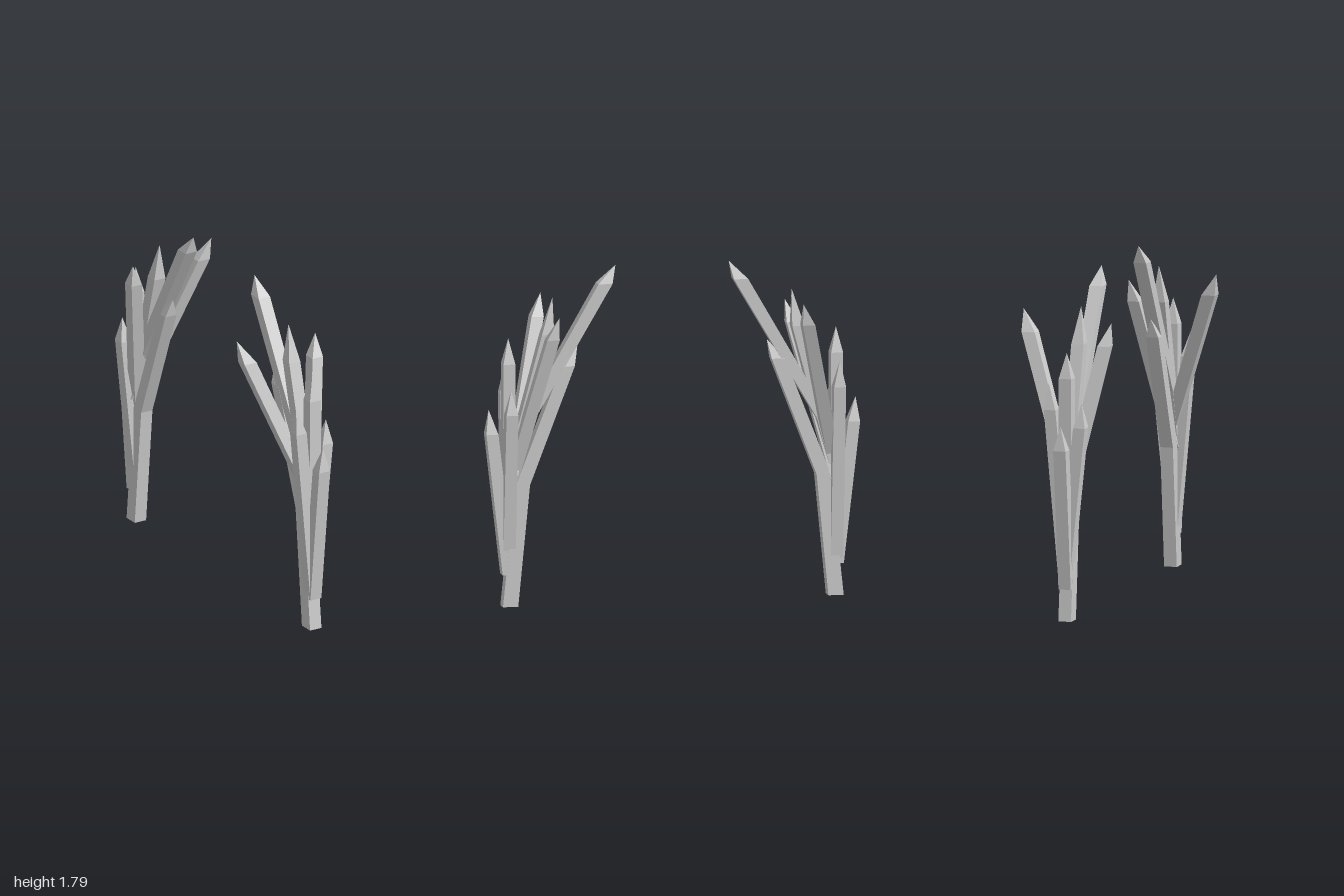
import * as THREE from 'three';

const material = new THREE.MeshStandardMaterial({ color: 0xcccccc, flatShading: true });

// Square blade lofted through level rings [x, y, z, halfX, halfZ] and closed by a point.
function blade(name, rings, tip) {
  const signs = [[-1, 1], [1, 1], [1, -1], [-1, -1]];
  const loops = rings.map(([x, y, z, hx = 0.034, hz = 0.033]) =>
    signs.map(([sx, sz]) => [x + sx * hx, y, z + sz * hz]));
  const pos = [];
  const tri = (a, b, c) => pos.push(...a, ...b, ...c);
  const last = loops[loops.length - 1];
  for (let i = 0; i < 4; i++) {
    const j = (i + 1) % 4;
    for (let k = 0; k + 1 < loops.length; k++) {
      const lo = loops[k], hi = loops[k + 1];
      tri(lo[i], lo[j], hi[j]);
      tri(lo[i], hi[j], hi[i]);
    }
    tri(last[i], last[j], tip);
  }
  const b = loops[0];
  tri(b[0], b[2], b[1]);
  tri(b[0], b[3], b[2]);
  const geometry = new THREE.BufferGeometry();
  geometry.setAttribute('position', new THREE.Float32BufferAttribute(pos, 3));
  geometry.computeVertexNormals();
  const mesh = new THREE.Mesh(geometry, material);
  mesh.name = name;
  return mesh;
}

// One cluster of blades fanning out from a common stem, leaning towards the centre.
function createCluster(name) {
  const cluster = new THREE.Group();
  cluster.name = name;
  cluster.add(
    // stem that bends inward
    blade('bentStem', [[0, 0, 0.871, 0.035, 0.041], [0, 0.645, 0.805, 0.035, 0.038],
      [0, 1.27, 0.563, 0.035, 0.036]], [0, 1.37, 0.507]),
    // long blades leaning inward
    blade('longBlade', [[0, 0.86, 0.853], [0, 1.7, 0.363, 0.035, 0.038]], [0, 1.795, 0.303]),
    blade('innerBlade', [[0, 0.7, 0.868], [0, 1.44, 0.67]], [0, 1.635, 0.64]),
    // diagonal blades
    blade('wideDiagonalBlade', [[0.02, 0.7, 0.868], [-0.272, 1.49, 0.67, 0.037]], [-0.318, 1.605, 0.638]),
    blade('narrowDiagonalBlade', [[-0.01, 0.62, 0.875], [0.142, 1.435, 0.67, 0.032]], [0.166, 1.55, 0.638]),
    // nearly upright side blades
    blade('tallSideBlade', [[0, 0.2, 0.876], [-0.085, 1.12, 0.876, 0.032, 0.032]], [-0.1, 1.26, 0.878]),
    blade('shortSideBlade', [[0, 0.3, 0.876], [0.077, 1.03, 0.876, 0.032, 0.032]], [0.083, 1.16, 0.878]),
    // upright and outward blades
    blade('uprightBlade', [[0, 0.2, 0.877], [0, 1.29, 0.877, 0.034, 0.032]], [0, 1.425, 0.877]),
    blade('outerBlade', [[0, 0.17, 0.88], [0, 0.92, 0.968, 0.034, 0.032]], [0, 1.05, 0.982]),
  );
  return cluster;
}

export function createModel() {
  const model = new THREE.Group();
  model.name = 'bladeClusters';
  const front = createCluster('frontCluster');
  const back = createCluster('backCluster');
  back.rotation.y = Math.PI;
  model.add(front, back);
  return model;
}
